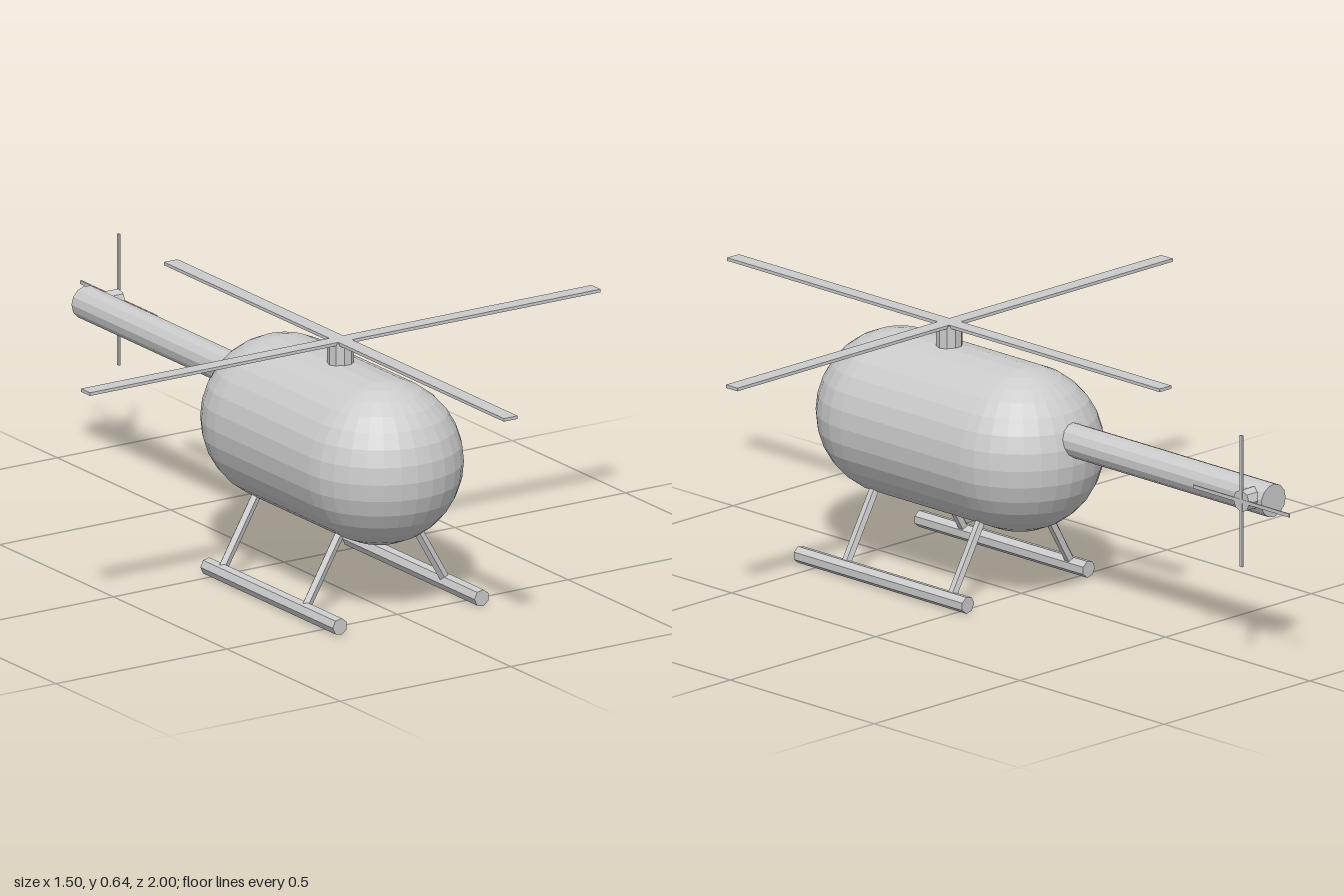
import * as THREE from 'three';

const material = new THREE.MeshStandardMaterial({ color: 0xcccccc, flatShading: true });

function add(parent, name, geometry, x = 0, y = 0, z = 0) {
  const mesh = new THREE.Mesh(geometry, material);
  mesh.name = name;
  mesh.position.set(x, y, z);
  parent.add(mesh);
  return mesh;
}

// Upright prism with one edge facing -x
const rod = (r, length, sides) =>
  new THREE.CylinderGeometry(r, r, length, sides).rotateY(-Math.PI / 2);

// Faceted sphere cut into front and back halves that are pulled apart along z
function fuselageGeometry(r, shift) {
  const rings = 15, step = Math.PI / rings;
  const profile = [new THREE.Vector2(0, -r * Math.cos(step / 2))];
  for (let i = 0; i < rings; i++) {
    const a = (i + 0.5) * step;
    profile.push(new THREE.Vector2(r * Math.sin(a), -r * Math.cos(a)));
  }
  profile.push(new THREE.Vector2(0, r * Math.cos(step / 2)));

  const columns = 32;
  const geometry = new THREE.LatheGeometry(profile, columns);
  const pos = geometry.attributes.position;
  for (let i = 0; i <= columns; i++) {
    const c = i % columns;
    const front = c < 16;
    const phi = -Math.PI / 2 + (front ? c : c - 1) * step;
    profile.forEach((p, j) => {
      pos.setXYZ(i * profile.length + j,
        p.x * Math.sin(phi), p.y, p.x * Math.cos(phi) + (front ? shift : -shift));
    });
  }
  geometry.computeVertexNormals();
  return geometry;
}

export function createModel() {
  const model = new THREE.Group();
  model.name = 'helicopter';

  add(model, 'fuselage', fuselageGeometry(0.2075, 0.207), 0, 0.374, 0.212);
  add(model, 'tailBoom', rod(0.042, 0.87, 13).rotateX(Math.PI / 2), 0, 0.433, -0.439);

  // Main rotor
  const mainRotor = new THREE.Group();
  mainRotor.name = 'mainRotor';
  mainRotor.position.set(0, 0, 0.25);
  add(mainRotor, 'mast', rod(0.033, 0.1, 10), 0, 0.586, 0);
  add(mainRotor, 'crossBlade', new THREE.BoxGeometry(1.495, 0.008, 0.04), 0, 0.635, 0);
  add(mainRotor, 'lengthBlade', new THREE.BoxGeometry(0.04, 0.008, 1.5), 0, 0.635, 0);
  model.add(mainRotor);

  // Tail rotor on the left of the boom
  const tailRotor = new THREE.Group();
  tailRotor.name = 'tailRotor';
  tailRotor.position.set(0, 0.438, -0.833);
  add(tailRotor, 'tailHub', rod(0.028, 0.07, 8).rotateZ(Math.PI / 2), 0.035, 0, 0);
  add(tailRotor, 'uprightTailBlade', new THREE.BoxGeometry(0.004, 0.336, 0.009), 0.069, 0, 0);
  add(tailRotor, 'levelTailBlade', new THREE.BoxGeometry(0.004, 0.009, 0.334), 0.069, 0, 0);
  model.add(tailRotor);

  // Landing skids with slanted struts
  const slant = Math.PI / 6, strutLength = 0.27;
  for (const side of [1, -1]) {
    const gear = new THREE.Group();
    gear.name = side > 0 ? 'leftLandingGear' : 'rightLandingGear';
    add(gear, 'skid', rod(0.0215, 0.584, 7).rotateX(Math.PI / 2), side * 0.2075, 0.021, 0.268);
    for (const z of [0.403, 0.035]) {
      const strut = add(gear, 'strut', rod(0.0125, strutLength, 5),
        side * (0.2075 - Math.sin(slant) * strutLength / 2),
        0.023 + Math.cos(slant) * strutLength / 2, z);
      strut.rotation.z = side * slant;
    }
    model.add(gear);
  }
  return model;
}
